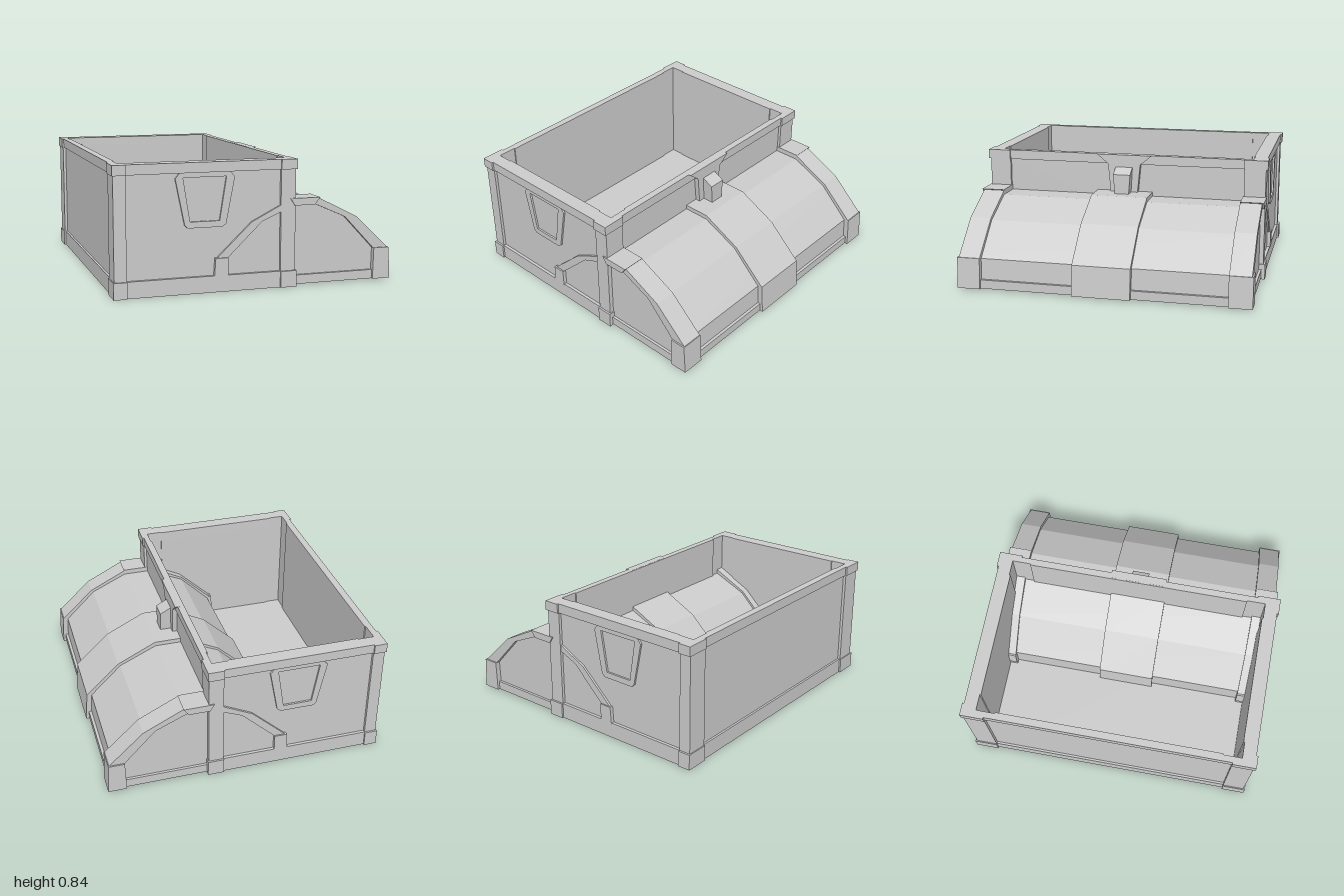
import * as THREE from 'three';

export function createModel() {
  const model = new THREE.Group();
  const mat = new THREE.MeshStandardMaterial({ color: 0xcccccc, flatShading: true });

  const add = (name, geo) => {
    const mesh = new THREE.Mesh(geo, mat);
    mesh.name = name;
    model.add(mesh);
    return mesh;
  };
  const toShape = (pts) => new THREE.Shape(pts.map(([x, y]) => new THREE.Vector2(x, y)));
  const extrude = (pts, depth, hole) => {
    const s = toShape(pts);
    if (hole) s.holes.push(toShape(hole));
    return new THREE.ExtrudeGeometry(s, { depth, bevelEnabled: false });
  };

  // side profile (x, y) extruded between two z values
  const profile = (name, pts, z0, z1, hole) =>
    add(name, extrude(pts, z1 - z0, hole).translate(0, 0, z0));
  // plan outline (x, z) extruded between two heights
  const layer = (name, pts, y0, y1, hole) =>
    add(name, extrude(pts, y1 - y0, hole).rotateX(-Math.PI / 2).translate(0, y0, 0));
  // counter-clockwise rectangle whose corners step outwards by b over l0, l1 (x) and lz (z)
  const plan = (x0, x1, z, b, l0, l1, lz) => {
    const half = [
      [x1, z - lz], [x1 + b, z - lz], [x1 + b, z + b], [x1 - l1, z + b], [x1 - l1, z],
      [x0 + l0, z], [x0 + l0, z + b], [x0 - b, z + b], [x0 - b, z - lz], [x0, z - lz],
    ];
    return [...half, ...half.map(([x, y]) => [x, -y]).reverse()];
  };

  // open box: floor, base, walls with corner posts, top rim
  const inner = plan(-0.885, 0.205, 0.89, 0.008, 0.1, 0.1, 0.12);
  const trim = plan(-0.935, 0.252, 0.988, 0.012, 0.075, 0.097, 0.148);
  layer('floor', plan(-0.9, 0.22, 0.92, 0.01, 0.1, 0.1, 0.12), 0, 0.05);
  layer('baseTrim', trim, 0, 0.107, inner);
  layer('walls', plan(-0.92, 0.236, 0.967, 0.02, 0.06, 0.08, 0.127), 0.107, 0.77, inner);
  layer('topRim', trim, 0.77, 0.835, inner);

  // arched cover, running through the box wall
  profile('archBody', [
    [-0.255, 0.04], [0.2, 0.04], [0.2, 0.07], [0.9, 0.07], [0.892, 0.212],
    [0.675, 0.425], [0.418, 0.545], [0.232, 0.545], [-0.037, 0.425], [-0.253, 0.212],
  ], -0.957, 0.957);

  // skirt under the cover, open below
  layer('skirt', [[0.22, -0.975], [0.92, -0.975], [0.92, 0.975], [0.22, 0.975]], 0.01, 0.07,
    [[0.24, -0.9], [0.83, -0.9], [0.83, 0.9], [0.24, 0.9]]);

  // raised bands over the arch
  const outer = [
    [0.937, 0.01], [0.925, 0.218], [0.69, 0.44], [0.42, 0.575],
    [0.23, 0.575], [-0.04, 0.44], [-0.275, 0.218], [-0.285, 0.04],
  ];
  const under = [
    [-0.2, 0.04], [-0.2, 0.218], [0.03, 0.44], [0.255, 0.535],
    [0.395, 0.535], [0.61, 0.44], [0.82, 0.218], [0.82, 0.01],
  ];
  profile('centreBand', [[0.83, 0.01], [0.943, 0.01], ...outer.slice(1), [0.2, 0.04], [0.2, 0.07], [0.83, 0.07]],
    -0.197, 0.197);

  // emblem frame outline on the end walls
  const frame = [
    [-0.485, 0.44], [-0.465, 0.42], [-0.235, 0.42], [-0.212, 0.44],
    [-0.155, 0.735], [-0.185, 0.772], [-0.515, 0.772], [-0.545, 0.735],
  ];
  const frameHole = [[-0.45, 0.46], [-0.255, 0.46], [-0.21, 0.74], [-0.495, 0.74]];

  for (const s of [1, -1]) {
    const at = (name, pts, a, b, hole) => profile(name, pts, Math.min(a * s, b * s), Math.max(a * s, b * s), hole);
    at('endBand', [...outer, ...under], 0.835, 0.982);
    at('frontFoot', [[0.815, 0.01], [0.94, 0.01], [0.928, 0.22], [0.82, 0.22]], 0.835, 0.992);
    at('rearFoot', [[-0.293, 0.1], [-0.2, 0.1], [-0.2, 0.22], [-0.285, 0.22]], 0.835, 0.992);
    at('bandCap', [[0.25, 0.533], [0.39, 0.533], [0.425, 0.58], [0.22, 0.58]], 0.835, 0.995);
    at('emblemFrame', frame, 0.955, 0.98, frameHole);
  }

  // tapered plate in the middle of the wall, facing the arch
  const plate = extrude([
    [-0.095, 0.56], [0.095, 0.56], [0.115, 0.77], [0.195, 0.836], [-0.195, 0.836], [-0.115, 0.77],
  ], 0.057);
  add('wallPlate', plate.rotateY(Math.PI / 2).translate(0.213, 0, 0));

  // latch block with sloping top, narrowing downwards
  const latch = profile('latch', [[0.25, 0.56], [0.346, 0.56], [0.346, 0.71], [0.27, 0.75], [0.25, 0.75]], -0.06, 0.06);
  const p = latch.geometry.attributes.position;
  for (let i = 0; i < p.count; i++) if (p.getY(i) < 0.6) p.setZ(i, p.getZ(i) * 0.82);
  latch.geometry.computeVertexNormals();

  return model;
}
